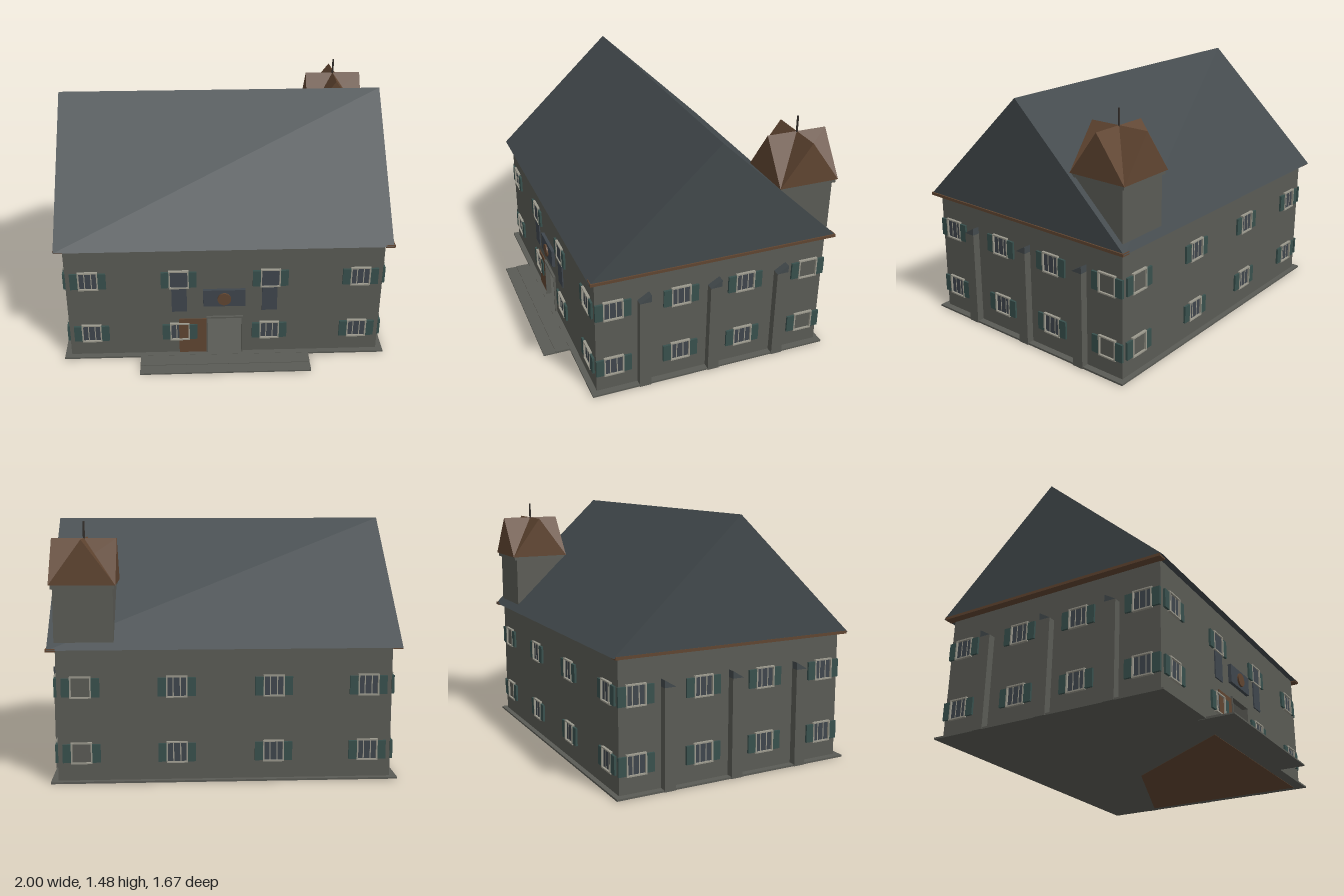
import * as THREE from 'three';

const mat = (name, color) => {
  const m = new THREE.MeshStandardMaterial({ color });
  m.name = name;
  return m;
};

export function createModel() {
  const stone = mat('stone grey', 0x5a5b55);
  const slate = mat('slate', 0x42494c);
  const wood = mat('brown wood', 0x604531);
  const teal = mat('teal shutter', 0x38504d);
  const trim = mat('pale trim', 0x9a988c);
  const glass = mat('dark glass', 0x3f464d);
  const iron = mat('dark iron', 0x35302c);

  const model = new THREE.Group();
  model.name = 'house';

  // Box given by its minimum and maximum on each axis
  const box = (name, m, x0, x1, y0, y1, z0, z1, parent = model) => {
    const mesh = new THREE.Mesh(new THREE.BoxGeometry(x1 - x0, y1 - y0, z1 - z0), m);
    mesh.position.set((x0 + x1) / 2, (y0 + y1) / 2, (z0 + z1) / 2);
    mesh.name = name;
    parent.add(mesh);
  };

  // Prism with a (z, y) profile, running along x
  const prism = (name, m, profile, x0, x1, parent = model) => {
    const shape = new THREE.Shape(profile.map(([z, y]) => new THREE.Vector2(z, y)));
    const geo = new THREE.ExtrudeGeometry(shape, { depth: x1 - x0, bevelEnabled: false });
    geo.rotateY(-Math.PI / 2).translate(x1, 0, 0);
    const mesh = new THREE.Mesh(geo, m);
    mesh.name = name;
    parent.add(mesh);
    return mesh;
  };

  // Hollow walls with an open doorway in the front
  box('backWall', stone, -0.95, 0.95, 0.005, 0.772, -0.79, -0.77);
  box('frontWallRight', stone, -0.95, -0.108, 0.005, 0.772, 0.615, 0.635);
  box('frontWallLeft', stone, 0.108, 0.95, 0.005, 0.772, 0.615, 0.635);
  box('frontWallOverDoor', stone, -0.108, 0.108, 0.275, 0.772, 0.615, 0.635);
  box('rightWall', stone, -0.95, -0.93, 0.005, 0.772, -0.79, 0.635);
  box('leftWall', stone, 0.93, 0.95, 0.005, 0.772, -0.79, 0.635);

  // Plinth, front steps and the wooden patch of floor seen from underneath
  box('plinth', stone, -0.99, 0.99, 0.003, 0.014, -0.82, 0.67);
  box('lowerStep', stone, -0.52, 0.52, 0, 0.009, 0.62, 0.835);
  box('upperStep', stone, -0.52, 0.52, 0.004, 0.013, 0.62, 0.76);
  const patch = new THREE.Shape(
    [[0.94, -0.47], [0.94, 0.6], [-0.27, 0.6], [0.2, -0.15]].map(([x, z]) => new THREE.Vector2(x, z)));
  const patchGeo = new THREE.ExtrudeGeometry(patch, { depth: 0.003, bevelEnabled: false });
  patchGeo.rotateX(Math.PI / 2).translate(0, 0.004, 0);
  const floor = new THREE.Mesh(patchGeo, wood);
  floor.name = 'woodenFloor';
  model.add(floor);

  // Gabled roof with boards below its ends
  prism('roof', slate, [[-0.835, 0.772], [0.672, 0.772], [-0.08, 1.477]], -0.998, 0.992);
  box('gableBoard', wood, -1, -0.945, 0.763, 0.78, -0.825, 0.662);
  box('gableBoard', wood, 0.945, 1, 0.763, 0.78, -0.832, 0.669);

  // Window on a wall facing local +z, with its origin on the wall surface;
  // a blind window has a stone panel and no muntins
  const addWindow = (x, y, z, angle, blind = false) => {
    const w = new THREE.Group();
    w.name = blind ? 'blindWindow' : 'window';
    box('pane', blind ? stone : glass, -0.054, 0.054, -0.055, 0.055, -0.002, 0.004, w);
    for (const s of [-1, 1]) {
      box('frameSide', trim, s * 0.056 - 0.004, s * 0.056 + 0.004, -0.06, 0.06, -0.002, 0.016, w);
      box('frameRail', trim, -0.06, 0.06, s * 0.058 - 0.004, s * 0.058 + 0.004, -0.002, 0.016, w);
      if (!blind) box('muntin', trim, s * 0.02 - 0.003, s * 0.02 + 0.003, -0.055, 0.055, 0, 0.0055, w);
      box('shutter', teal, s * 0.083 - 0.024, s * 0.083 + 0.024, -0.055, 0.052, -0.002, 0.013, w);
    }
    w.position.set(x, y, z);
    w.rotation.y = angle;
    model.add(w);
  };
  for (const y of [0.175, 0.555]) {
    for (const x of [-0.815, -0.275, 0.275, 0.815]) {
      addWindow(x, y, 0.635, 0);
      addWindow(x, y, -0.79, Math.PI, x === 0.815);
    }
    for (const z of [0.53, 0.122, -0.28, -0.69]) {
      addWindow(0.95, y, z, Math.PI / 2, z === -0.69);
      addWindow(-0.95, y, z, -Math.PI / 2);
    }
  }

  // Buttresses with wedge caps on both ends
  for (const z of [0.35, -0.08, -0.505]) {
    for (const x0 of [-0.995, 0.945]) {
      box('buttress', stone, x0, x0 + 0.05, 0.003, 0.582, z - 0.035, z + 0.035);
      prism('buttressCap', slate, [[z - 0.035, 0.582], [z + 0.035, 0.582], [z - 0.035, 0.625]], x0, x0 + 0.05);
    }
  }

  // Door frame, the leaf slid open against the wall, and panelling deep inside
  box('doorLeaf', wood, -0.28, -0.11, 0.015, 0.265, 0.632, 0.6412);
  for (const s of [-1, 1]) {
    box('doorPost', stone, s * 0.108 - 0.004, s * 0.108 + 0.004, 0.01, 0.28, 0.615, 0.648);
  }
  box('lintel', stone, -0.112, 0.112, 0.272, 0.282, 0.615, 0.65);
  box('innerPanelling', wood, -0.5, 0.5, 0.125, 0.26, -0.775, -0.76);
  box('innerRail', wood, -0.5, 0.5, 0.084, 0.094, -0.775, -0.76);

  // Sign board with a round shield
  box('signBoard', glass, -0.13, 0.125, 0.365, 0.48, 0.63, 0.655);
  const shield = new THREE.Mesh(new THREE.CylinderGeometry(0.041, 0.041, 0.012, 32), wood);
  shield.rotation.x = Math.PI / 2;
  shield.position.set(-0.003, 0.42, 0.659);
  shield.name = 'roundShield';
  model.add(shield);

  // Banners hanging from the inner upper windows
  for (const x of [-0.275, 0.272]) {
    box('banner', glass, x - 0.046, x + 0.046, 0.325, 0.608, 0.637, 0.6445);
  }

  // Corner tower with cornice, crossed gables and spire
  const tower = new THREE.Group();
  tower.name = 'tower';
  model.add(tower);
  const cx = 0.79, cz = -0.637, r = 0.184;
  box('towerWalls', stone, 0.623, 0.955, 0.77, 1.112, -0.795, -0.47, tower);
  box('cornice', stone, cx - 0.175, cx + 0.175, 1.108, 1.132, cz - 0.175, cz + 0.175, tower);
  for (const angle of [0, Math.PI / 2]) {
    const gable = prism('towerGable', wood, [[-r, 1.13], [r, 1.13], [0, 1.38]], -r, r, tower);
    gable.position.set(cx, 0, cz);
    gable.rotation.y = angle;
  }
  const spire = new THREE.Mesh(new THREE.CylinderGeometry(0.006, 0.006, 0.112, 8), iron);
  spire.position.set(cx, 1.417, cz);
  spire.name = 'spire';
  tower.add(spire);

  return model;
}
